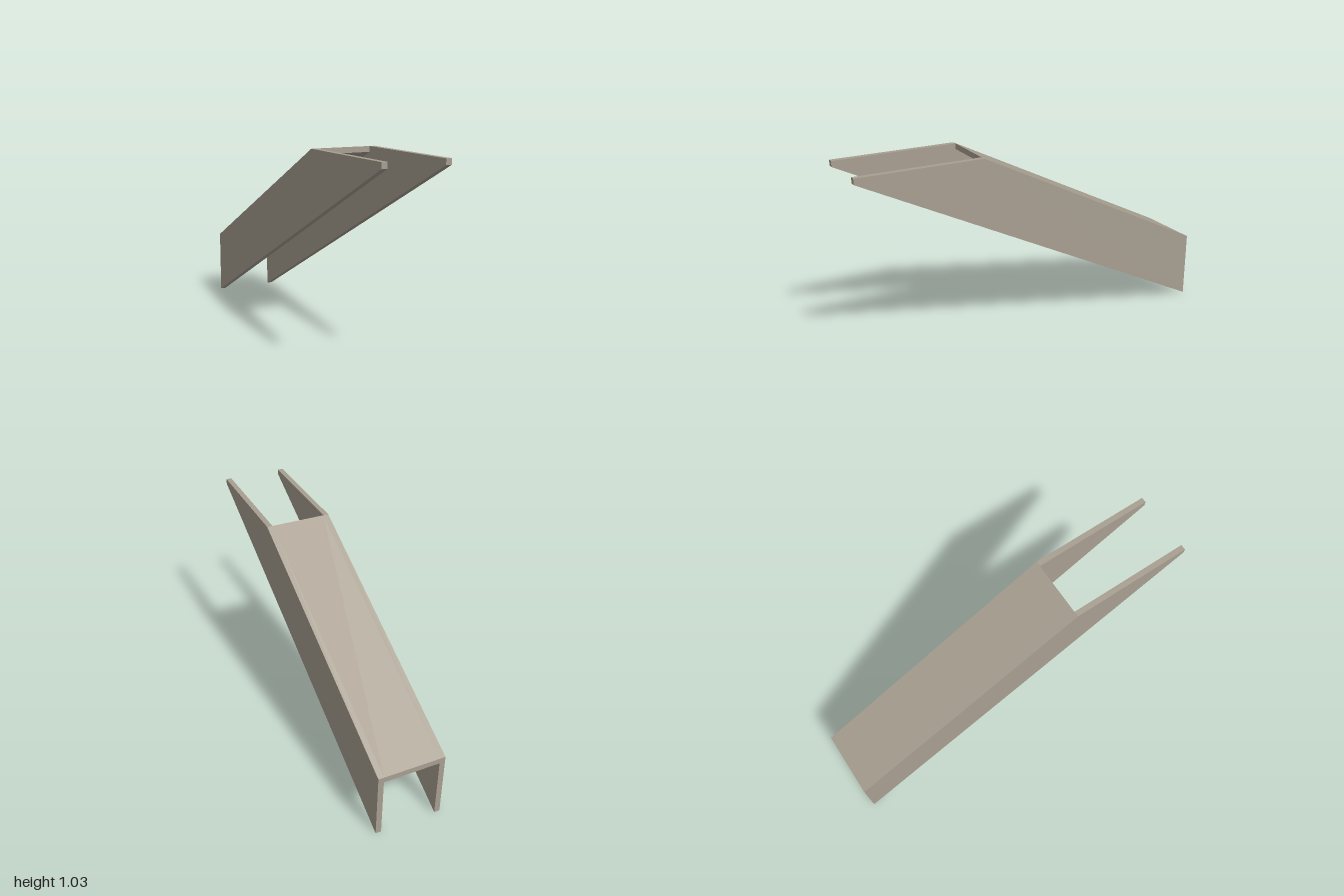
import * as THREE from 'three';

const HALF_WIDTH = 0.18;
const WALL = 0.03;

// Extrudes a [z, y] outline across x, centred on the given x.
function slab(name, outline, width, x, material) {
  const shape = new THREE.Shape(outline.map(([z, y]) => new THREE.Vector2(z, y)));
  const geometry = new THREE.ExtrudeGeometry(shape, { depth: width, bevelEnabled: false });
  geometry.rotateY(-Math.PI / 2);
  geometry.translate(x + width / 2, 0, 0);
  const mesh = new THREE.Mesh(geometry, material);
  mesh.name = name;
  return mesh;
}

export function createModel() {
  const group = new THREE.Group();
  group.name = 'slopedChannel';
  const stone = new THREE.MeshStandardMaterial({ color: 0xa89f91 });
  stone.name = 'warm grey';

  // Side walls: sloped parallel edges, flat top at the front, upright back
  const wall = [[-1, 0], [1, 1], [1, 1.03], [0.335, 1.03], [-1, 0.365]];
  const wallX = HALF_WIDTH - WALL / 2;
  group.add(slab('leftWall', wall, WALL, wallX, stone));
  group.add(slab('rightWall', wall, WALL, -wallX, stone));

  // Sloped cover between the walls, open beneath and ahead
  const cover = [[-1, 0.335], [0.335, 1], [0.335, 1.03], [-1, 0.365]];
  group.add(slab('slopedCover', cover, 2 * (HALF_WIDTH - WALL), 0, stone));

  return group;
}
